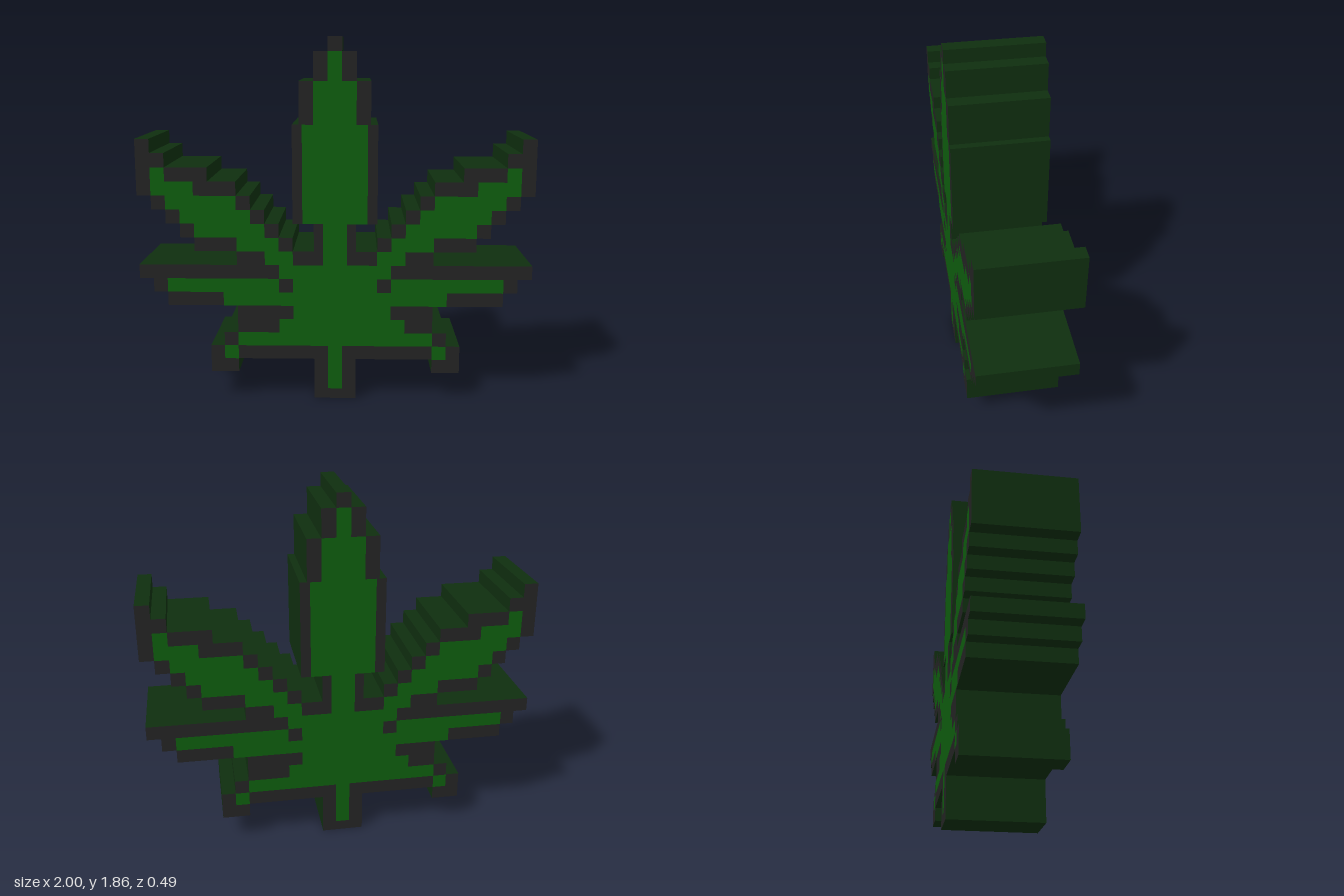
import * as THREE from 'three';
import { mergeGeometries } from 'three/addons/utils/BufferGeometryUtils.js';

const U = 1 / 14;     // size of one pixel step
const DEPTH = 0.486;  // thickness of the slab
const LIFT = 0.002;   // plates sit just proud of the slab

const rim = new THREE.MeshStandardMaterial({ color: 0x232323 });
rim.name = 'charcoal rim';
const side = new THREE.MeshStandardMaterial({ color: 0x0f2e0f });
side.name = 'dark green side';
const leaf = new THREE.MeshStandardMaterial({ color: 0x0e5d0e });
leaf.name = 'leaf green';

// Stepped outline of the +x half, from the tip down to the stem: [x, y] in pixels
const HALF = [
  // middle leaflet
  [0.5, 26], [0.5, 25], [1.5, 25], [1.5, 23], [2.5, 23], [2.5, 20], [3, 20], [3, 13], [1.5, 13], [1.5, 11],
  // upper edge of the upper leaflet
  [3, 11], [3, 12], [4, 12], [4, 13], [5, 13], [5, 14], [6, 14], [6, 15], [7, 15], [7, 16],
  [9, 16], [9, 17], [12, 17], [12, 18], [13, 18], [13, 19], [14, 19],
  // lower edge of the upper leaflet
  [14, 15], [13, 15], [13, 14], [12, 14], [12, 13], [11, 13], [11, 12], [10, 12], [10, 11], [7, 11], [7, 10],
  // side leaflet
  [14, 10], [14, 9], [13, 9], [13, 8], [12, 8], [12, 7], [7, 7],
  // bottom leaflet and stem
  [7, 5], [8, 5], [8, 4], [9, 4], [9, 2], [7, 2], [7, 3], [1.5, 3], [1.5, 0],
];

// Green areas as [x0, x1, y0, y1] in pixels
const CENTRE = [
  [-0.5, 0.5, 23, 25], [-1.5, 1.5, 20, 23], [-2.3, 2.3, 13, 20], [-0.85, 0.85, 10, 13],
  [-4, 4, 9, 10], [-3, 3, 7, 9], [-3, 4, 6, 7], [-4, 5, 5, 6], [-7, 7, 4, 5], [-0.5, 0.5, 0.75, 4],
];
const SIDE = [
  [3, 5, 10, 11], [4, 7, 11, 12], [5, 10, 12, 13], [6, 11, 13, 14], [7, 12, 14, 15],
  [10, 13, 15, 16], [12, 13, 16, 17],
  [4, 12, 8, 9], [3, 8, 7, 8],
  [7, 8, 3, 4],
];

function patch([x0, x1, y0, y1]) {
  return new THREE.PlaneGeometry((x1 - x0) * U, (y1 - y0) * U)
    .translate((x0 + x1) / 2 * U, (y0 + y1) / 2 * U, DEPTH / 2 + LIFT);
}

export function createModel() {
  const model = new THREE.Group();
  model.name = 'pixelLeaf';

  // Slab: charcoal caps, dark green walls
  const left = HALF.map(([x, y]) => [-x, y]).reverse();
  const outline = [...HALF, ...left].map(([x, y]) => new THREE.Vector2(x * U, y * U));
  const slab = new THREE.ExtrudeGeometry(new THREE.Shape(outline), { depth: DEPTH, bevelEnabled: false });
  slab.translate(0, 0, -DEPTH / 2);
  const body = new THREE.Mesh(slab, [rim, side]);
  body.name = 'leafBody';
  model.add(body);

  // Green face on the front, turned round for the back
  const mirrored = SIDE.map(([x0, x1, y0, y1]) => [-x1, -x0, y0, y1]);
  const face = mergeGeometries([...CENTRE, ...SIDE, ...mirrored].map(patch));
  ['frontFace', 'backFace'].forEach((name, i) => {
    const mesh = new THREE.Mesh(face, leaf);
    mesh.name = name;
    mesh.rotation.y = i * Math.PI;
    model.add(mesh);
  });
  return model;
}
